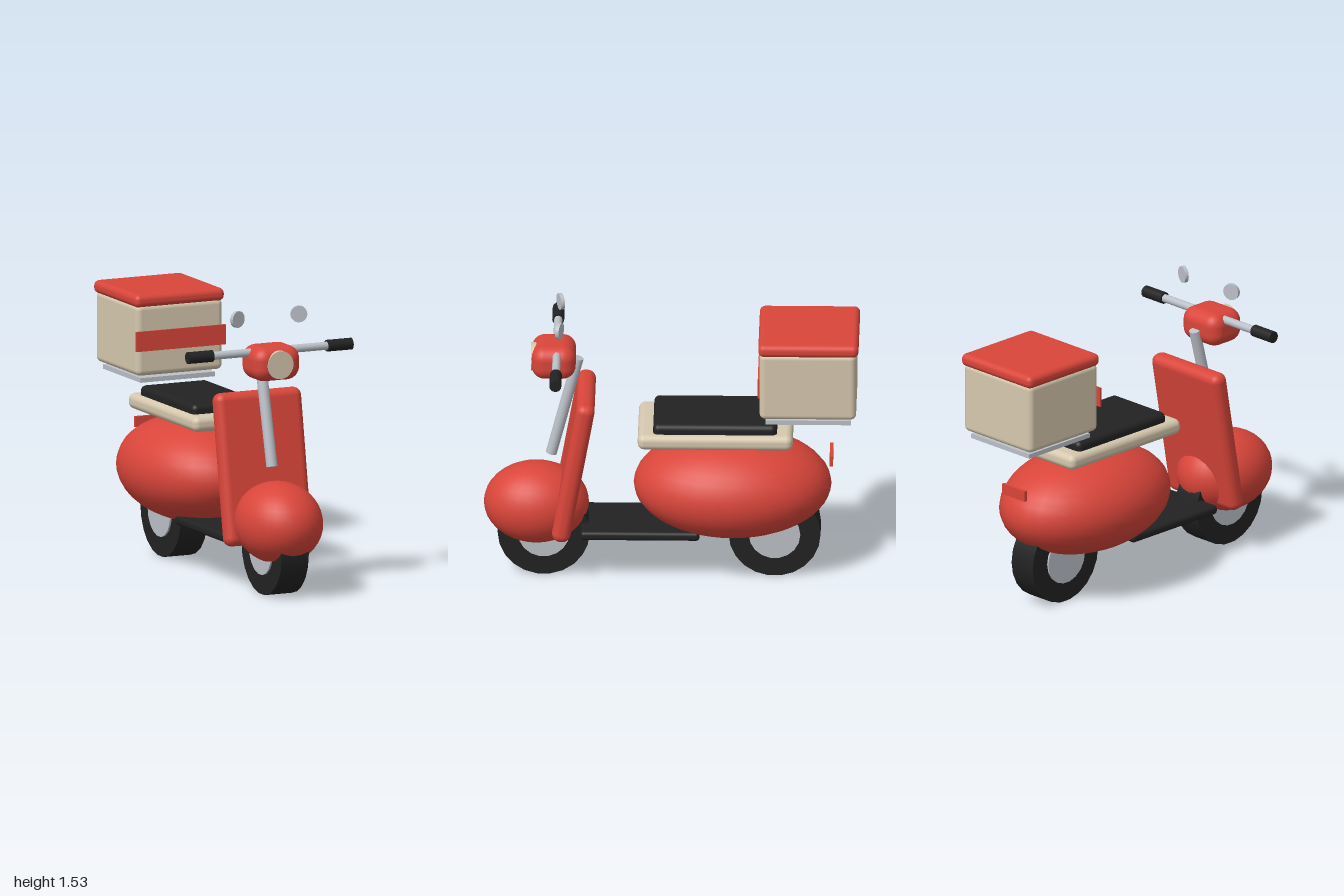
import * as THREE from 'three';
import { RoundedBoxGeometry } from 'three/addons/geometries/RoundedBoxGeometry.js';

const mat = (name, color) => {
  const m = new THREE.MeshStandardMaterial({ color });
  m.name = name;
  return m;
};

export function createModel() {
  const red = mat('red paint', 0xd9453a);
  const cream = mat('cream', 0xd6c8ae);
  const black = mat('black rubber', 0x222222);
  const silver = mat('silver metal', 0xbcc1c8);

  const model = new THREE.Group();
  model.name = 'scooter';

  const add = (name, geometry, material, x, y, z) => {
    const mesh = new THREE.Mesh(geometry, material);
    mesh.name = name;
    mesh.position.set(x, y, z);
    model.add(mesh);
    return mesh;
  };
  const rounded = (w, h, d, r) => new RoundedBoxGeometry(w, h, d, 4, r);
  const axle = (r, length, sides) => new THREE.CylinderGeometry(r, r, length, sides).rotateZ(Math.PI / 2);
  const ellipsoid = (rx, ry, rz) => new THREE.SphereGeometry(1, 32, 20).scale(rx, ry, rz);

  // Wheels: plain tyre with a slightly wider hub
  for (const [end, z] of [['front', 0.68], ['rear', -0.55]]) {
    add(end + 'Tyre', axle(0.245, 0.16, 22), black, 0, 0.245, z);
    add(end + 'Hub', axle(0.137, 0.18, 18), silver, 0, 0.245, z);
  }

  // Bodywork
  add('frontFender', ellipsoid(0.228, 0.22, 0.28), red, 0, 0.392, 0.72);
  add('rearBody', ellipsoid(0.374, 0.281, 0.527), red, 0, 0.514, -0.325);
  add('legShield', rounded(0.51, 0.82, 0.1, 0.045), red, 0, 0.66, 0.52).rotation.x = -0.175;
  add('floorboard', rounded(0.39, 0.05, 0.635, 0.02), black, 0, 0.275, 0.165);
  add('tailLight', new THREE.BoxGeometry(0.17, 0.058, 0.018), red, 0, 0.68, -0.852);

  // Seat
  add('seatBase', rounded(0.464, 0.085, 0.826, 0.035), cream, 0, 0.843, -0.236);
  add('seatPad', rounded(0.4, 0.08, 0.66, 0.03), black, 0, 0.897, -0.235);

  // Steering column, head and headlight
  add('steeringColumn', new THREE.CylinderGeometry(0.03, 0.03, 0.58, 16), silver, 0, 0.96, 0.569).rotation.x = -0.25;
  add('steeringHead', rounded(0.272, 0.185, 0.235, 0.07), red, 0, 1.247, 0.627);
  add('headlight', new THREE.CylinderGeometry(0.076, 0.076, 0.03, 24).rotateX(Math.PI / 2), cream, 0, 1.247, 0.733);
  add('handlebar', axle(0.022, 0.76, 16), silver, 0, 1.302, 0.61);

  // Grips and mirrors, one per side
  for (const [side, s] of [['left', 1], ['right', -1]]) {
    add(side + 'Grip', axle(0.032, 0.145, 16), black, s * 0.412, 1.302, 0.61);
    const mirror = new THREE.CylinderGeometry(0.045, 0.045, 0.02, 20).rotateX(Math.PI / 2);
    add(side + 'Mirror', mirror, silver, s * 0.182, 1.485, 0.594).rotation.y = -s * 0.33;
  }

  // Delivery box on its rack
  add('rack', new THREE.BoxGeometry(0.44, 0.025, 0.455), silver, 0, 0.972, -0.732);
  add('cargoBox', rounded(0.51, 0.385, 0.514, 0.03), cream, 0, 1.192, -0.73);
  add('cargoLid', rounded(0.53, 0.07, 0.534, 0.03), red, 0, 1.405, -0.733);
  add('cargoStripe', new THREE.BoxGeometry(0.53, 0.108, 0.009), red, 0, 1.19, -0.468);

  return model;
}
